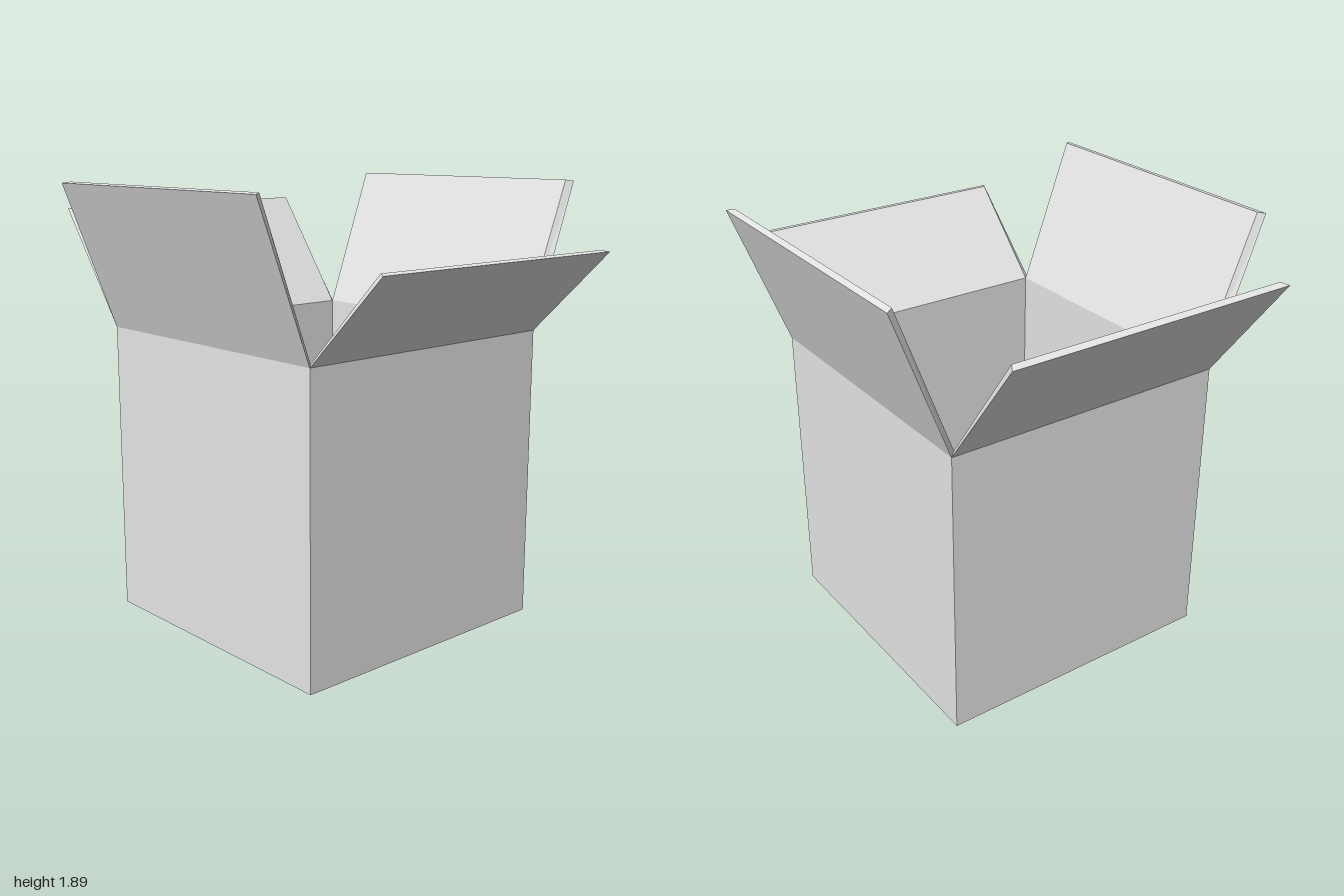
import * as THREE from 'three';

const HALF = 0.633, INNER = 0.603, TOP = 1.265, RIM = 1.27, FLOOR = 0.03;

// Flat-shaded geometry from four-cornered faces, corners counter-clockwise
function quadGeometry(quads) {
  const points = [];
  for (const [a, b, c, d] of quads) points.push(a, b, c, a, c, d);
  const geometry = new THREE.BufferGeometry();
  geometry.setAttribute('position', new THREE.Float32BufferAttribute(points.flat(), 3));
  geometry.computeVertexNormals();
  return geometry;
}

// Square ring of corners at a given height
const ring = (r, y) => [[-r, y, r], [r, y, r], [r, y, -r], [-r, y, -r]];

// Open box: up the outside, over the rim and down the inside
function bodyGeometry() {
  const rings = [ring(HALF, 0), ring(HALF, TOP), ring(INNER, RIM), ring(INNER, FLOOR)];
  const quads = [[...rings[0]].reverse(), rings[3]];
  for (let i = 0; i < 3; i++) {
    for (let k = 0; k < 4; k++) {
      const n = (k + 1) % 4;
      quads.push([rings[i][k], rings[i][n], rings[i + 1][n], rings[i + 1][k]]);
    }
  }
  return quadGeometry(quads);
}

// Flap leaning out over +z, with mitred edges
function flapGeometry(reach, height, innerReach, innerHeight) {
  const tip = 0.613;
  const A = [-HALF, TOP, HALF], B = [HALF, TOP, HALF];
  const C = [HALF, height, reach], D = [-HALF, height, reach];
  const a = [-INNER, RIM, INNER], b = [INNER, RIM, INNER];
  const c = [tip, innerHeight, innerReach], d = [-tip, innerHeight, innerReach];
  return quadGeometry([[A, B, C, D], [b, a, d, c], [B, b, c, C], [a, A, D, d], [D, C, c, d]]);
}

export function createModel() {
  const group = new THREE.Group();
  const cardboard = new THREE.MeshStandardMaterial({ color: 0xe7e7e7 });
  cardboard.name = 'paleGrey';

  const add = (name, geometry, turn = 0) => {
    const mesh = new THREE.Mesh(geometry, cardboard);
    mesh.name = name;
    mesh.rotation.y = turn;
    group.add(mesh);
  };

  add('boxBody', bodyGeometry());
  // Four open flaps, each side one lower or higher than the other
  add('frontFlap', flapGeometry(0.87, 1.885, 0.84, 1.89));
  add('backFlap', flapGeometry(0.87, 1.885, 0.84, 1.89), Math.PI);
  add('leftFlap', flapGeometry(1.0, 1.625, 0.967, 1.63), Math.PI / 2);
  add('rightFlap', flapGeometry(1.0, 1.755, 0.968, 1.763), -Math.PI / 2);
  return group;
}
